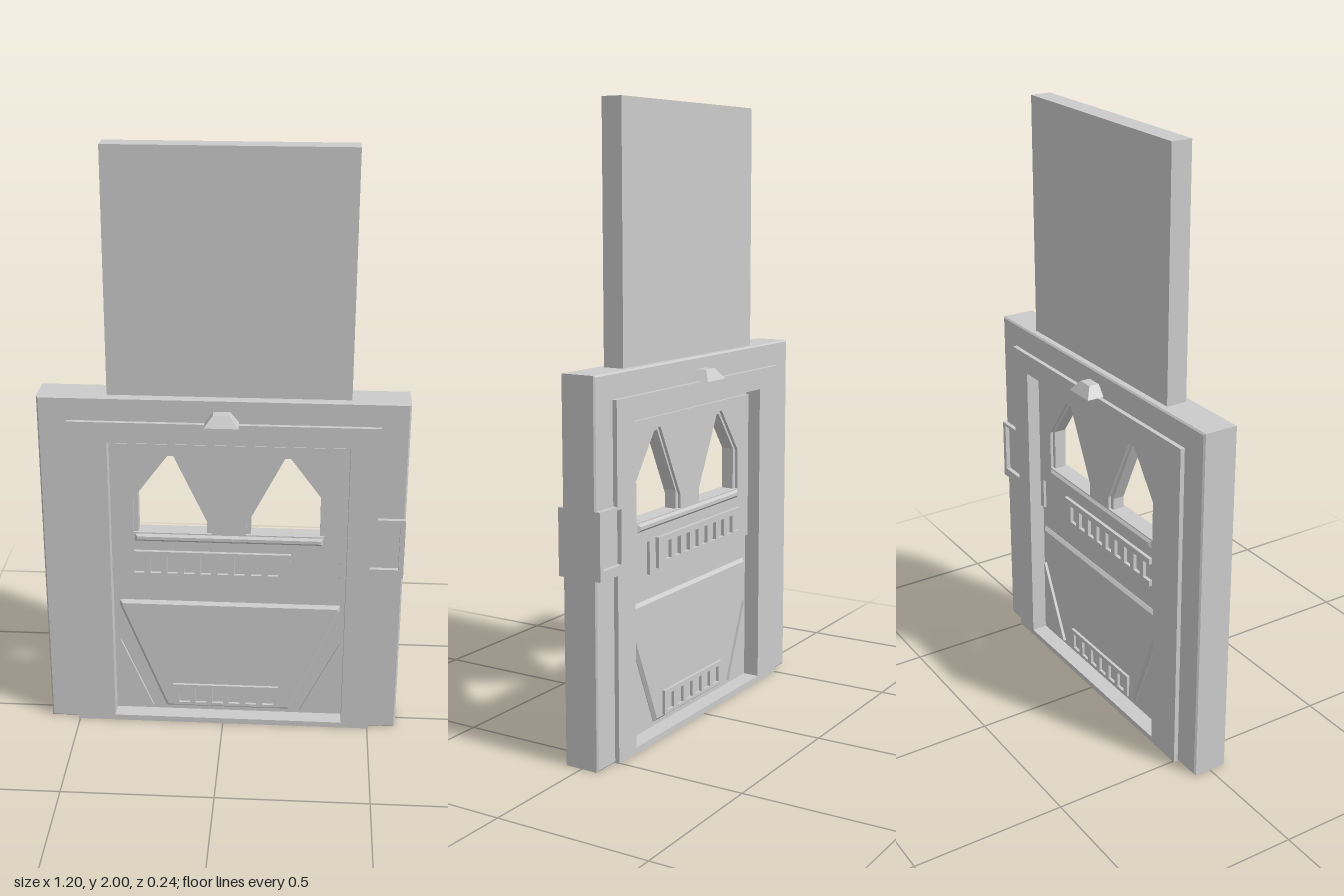
import * as THREE from 'three';
import { ConvexGeometry } from 'three/addons/geometries/ConvexGeometry.js';

const material = new THREE.MeshStandardMaterial({ color: 0xcccccc, flatShading: true });

const rect = (x0, y0, x1, y1) => [[x0, y0], [x1, y0], [x1, y1], [x0, y1]];
const toPoints = (pts) => pts.map(([x, y]) => new THREE.Vector2(x, y));

// Plate running through the wall from -z to +z, so both faces match
function plate(name, outline, z, holes = [], bevel = 0) {
  const shape = new THREE.Shape(toPoints(outline));
  for (const h of holes) shape.holes.push(new THREE.Path(toPoints(h)));
  const geometry = new THREE.ExtrudeGeometry(shape, {
    depth: 2 * (z - bevel),
    bevelEnabled: bevel > 0,
    bevelThickness: bevel,
    bevelSize: bevel,
    bevelOffset: -bevel,
    bevelSegments: 1,
  });
  geometry.translate(0, 0, bevel - z);
  const mesh = new THREE.Mesh(geometry, material);
  mesh.name = name;
  return mesh;
}

// Row of equal upright slots
const slots = (count, x, pitch, width, y0, y1) =>
  Array.from({ length: count }, (_, i) => rect(x + i * pitch, y0, x + i * pitch + width, y1));

export function createModel() {
  const model = new THREE.Group();
  model.name = 'slidingDoor';

  // Wall frame and the raised surround with its control recess
  const opening = rect(-0.375, 0.02, 0.41, 1.05);
  model.add(plate('wallFrame', rect(-0.6, 0, 0.597, 1.2), 0.06, [opening], 0.005));
  const surround = [
    [-0.505, 0], [0.505, 0], [0.505, 0.59], [0.597, 0.59],
    [0.597, 0.8], [0.505, 0.8], [0.505, 1.12], [-0.505, 1.12],
  ];
  model.add(plate('doorSurround', surround, 0.075, [opening, rect(0.485, 0.62, 0.58, 0.79)]));

  // Raised shutter above the frame
  model.add(plate('upperShutter', rect(-0.375, 1.19, 0.41, 2), 0.035));

  // Door leaf with two window openings
  const door = new THREE.Group();
  door.name = 'door';
  model.add(door);
  const windows = [
    [[-0.285, 0.71], [-0.055, 0.71], [-0.055, 0.75], [-0.165, 0.985], [-0.185, 0.985], [-0.285, 0.85]],
    [[0.09, 0.71], [0.32, 0.71], [0.32, 0.85], [0.22, 0.985], [0.2, 0.985], [0.09, 0.77]],
  ];
  const windowRims = [
    [[-0.3, 0.71], [-0.04, 0.71], [-0.04, 0.755], [-0.16, 0.995], [-0.19, 0.995], [-0.3, 0.845]],
    [[0.075, 0.71], [0.335, 0.71], [0.335, 0.845], [0.225, 0.995], [0.195, 0.995], [0.075, 0.755]],
  ];
  door.add(plate('doorLeaf', rect(-0.38, 0.015, 0.415, 1.055), 0.02, windows));
  const upperPanel = [
    [-0.375, 0.53], [0.26, 0.53], [0.26, 0.64], [0.39, 0.64],
    [0.39, 0.53], [0.41, 0.53], [0.41, 1.03], [-0.375, 1.03],
  ];
  door.add(plate('upperDoorPanel', upperPanel, 0.03, windowRims));
  door.add(plate('windowSill', rect(-0.3, 0.675, 0.335, 0.71), 0.038, [], 0.012));

  // Upper vent, with an open notch at its right end
  const vent = [
    [-0.3, 0.545], [0.225, 0.545], [0.225, 0.645], [-0.3, 0.645],
    [-0.3, 0.625], [-0.265, 0.625], [-0.265, 0.565], [-0.3, 0.565],
  ];
  door.add(plate('upperVent', vent, 0.042, slots(8, -0.245, 0.0563, 0.035, 0.565, 0.625)));

  // Lower panel, corner gussets and lower vent
  const lowerPanel = [[-0.2, 0.035], [0.23, 0.035], [0.395, 0.43], [0.395, 0.45], [-0.355, 0.45], [-0.355, 0.43]];
  door.add(plate('lowerDoorPanel', lowerPanel, 0.032, [], 0.01));
  door.add(plate('rightGusset', [[-0.355, 0.035], [-0.245, 0.035], [-0.355, 0.295]], 0.03));
  door.add(plate('leftGusset', [[0.395, 0.035], [0.395, 0.3], [0.265, 0.035]], 0.03));
  door.add(plate('lowerVent', rect(-0.175, 0.05, 0.19, 0.13), 0.042,
    slots(6, -0.155, 0.058, 0.038, 0.06, 0.115)));

  // Tapered lamp above the door on each face
  for (const side of [1, -1]) {
    const points = [];
    for (const [x0, x1, y, z] of [[-0.058, 0.052, 1.125, 0.118], [-0.03, 0.024, 1.16, 0.095]])
      for (const x of [x0, x1])
        for (const depth of [0.05, z]) points.push(new THREE.Vector3(x, y, side * depth));
    const lamp = new THREE.Mesh(new ConvexGeometry(points), material);
    lamp.name = side > 0 ? 'frontLamp' : 'backLamp';
    model.add(lamp);
  }
  return model;
}
